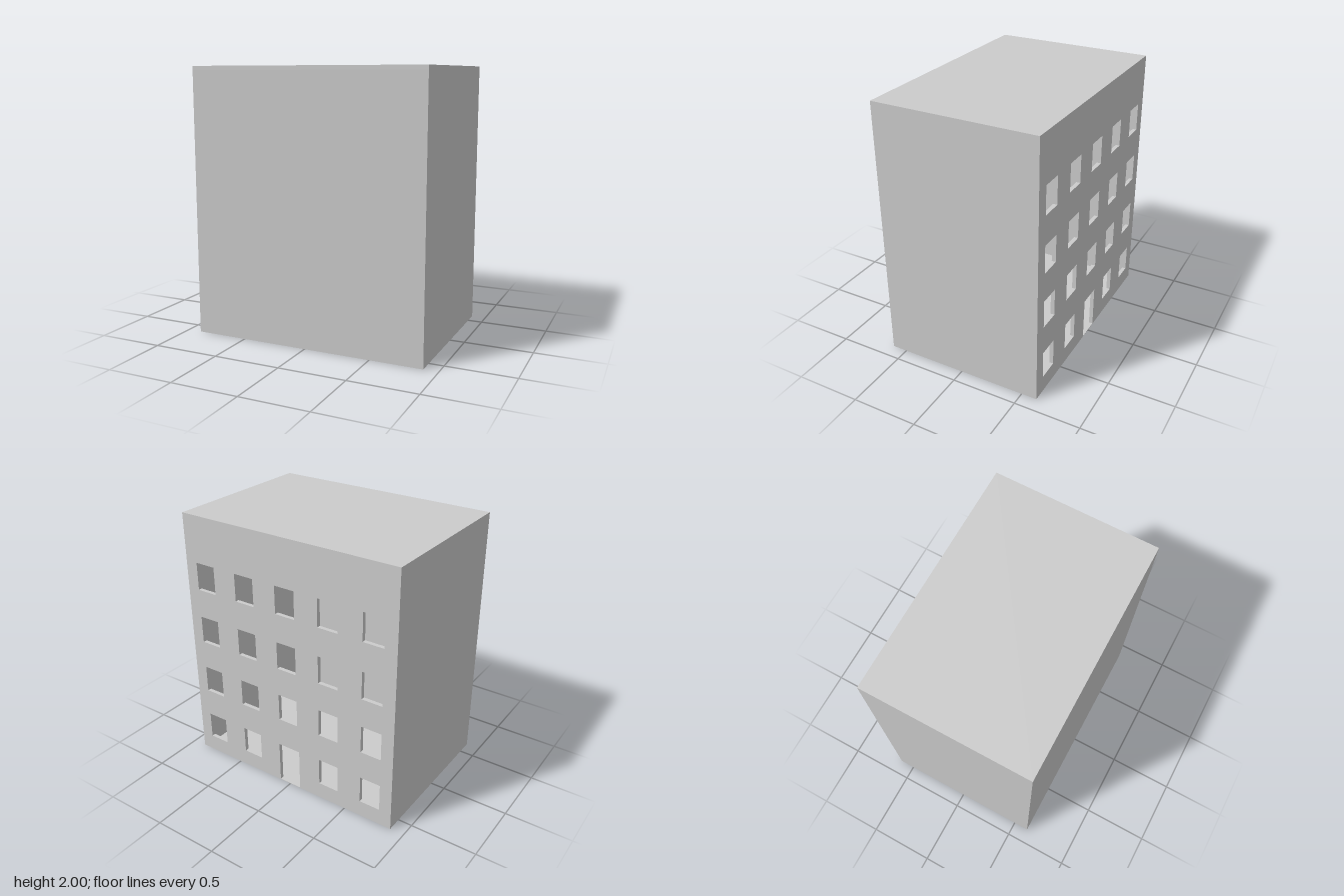
import * as THREE from 'three';

const W = 1.785, D = 1.235, H = 2;   // overall size
const T = 0.03, FLOOR = 0.004;       // wall and floor thickness
const COLS = 5, ROWS = 4;
const WIN_W = 0.164, WIN_H = 0.213, FIRST_SILL = 0.128, STOREY = 0.433;
const DOOR_W = 0.186, DOOR_H = 0.333;

export function createModel() {
  const group = new THREE.Group();
  const material = new THREE.MeshStandardMaterial({ color: 0xcccccc, flatShading: true });

  const add = (name, geometry, x, y, z) => {
    const mesh = new THREE.Mesh(geometry, material);
    mesh.name = name;
    mesh.position.set(x, y, z);
    group.add(mesh);
  };

  // Plain slabs and walls around the hollow interior
  const wallTop = H - T, wallH = wallTop - FLOOR, wallY = (wallTop + FLOOR) / 2;
  add('floor', new THREE.BoxGeometry(W, FLOOR, D), 0, FLOOR / 2, 0);
  add('roof', new THREE.BoxGeometry(W, T, D), 0, H - T / 2, 0);
  add('frontWall', new THREE.BoxGeometry(W, wallH, T), 0, wallY, D / 2 - T / 2);
  for (const [name, side] of [['leftWall', 1], ['rightWall', -1]]) {
    add(name, new THREE.BoxGeometry(T, wallH, D - 2 * T), side * (W - T) / 2, wallY, 0);
  }

  // Back wall: outline notched for the door, with a grid of window holes
  const w = W / 2, d = DOOR_W / 2;
  const outline = [
    [-w, FLOOR], [-d, FLOOR], [-d, DOOR_H], [d, DOOR_H],
    [d, FLOOR], [w, FLOOR], [w, wallTop], [-w, wallTop],
  ];
  const wall = new THREE.Shape(outline.map(([x, y]) => new THREE.Vector2(x, y)));
  for (let row = 0; row < ROWS; row++) {
    for (let col = 0; col < COLS; col++) {
      if (row === 0 && col === 2) continue; // doorway
      const x = (col - (COLS - 1) / 2) * (W / COLS), y = FIRST_SILL + row * STOREY;
      const hole = new THREE.Path();
      hole.moveTo(x - WIN_W / 2, y);
      hole.lineTo(x - WIN_W / 2, y + WIN_H);
      hole.lineTo(x + WIN_W / 2, y + WIN_H);
      hole.lineTo(x + WIN_W / 2, y);
      hole.closePath();
      wall.holes.push(hole);
    }
  }
  add('backWallWithWindows', new THREE.ExtrudeGeometry(wall, { depth: T, bevelEnabled: false }), 0, 0, -D / 2);

  return group;
}
